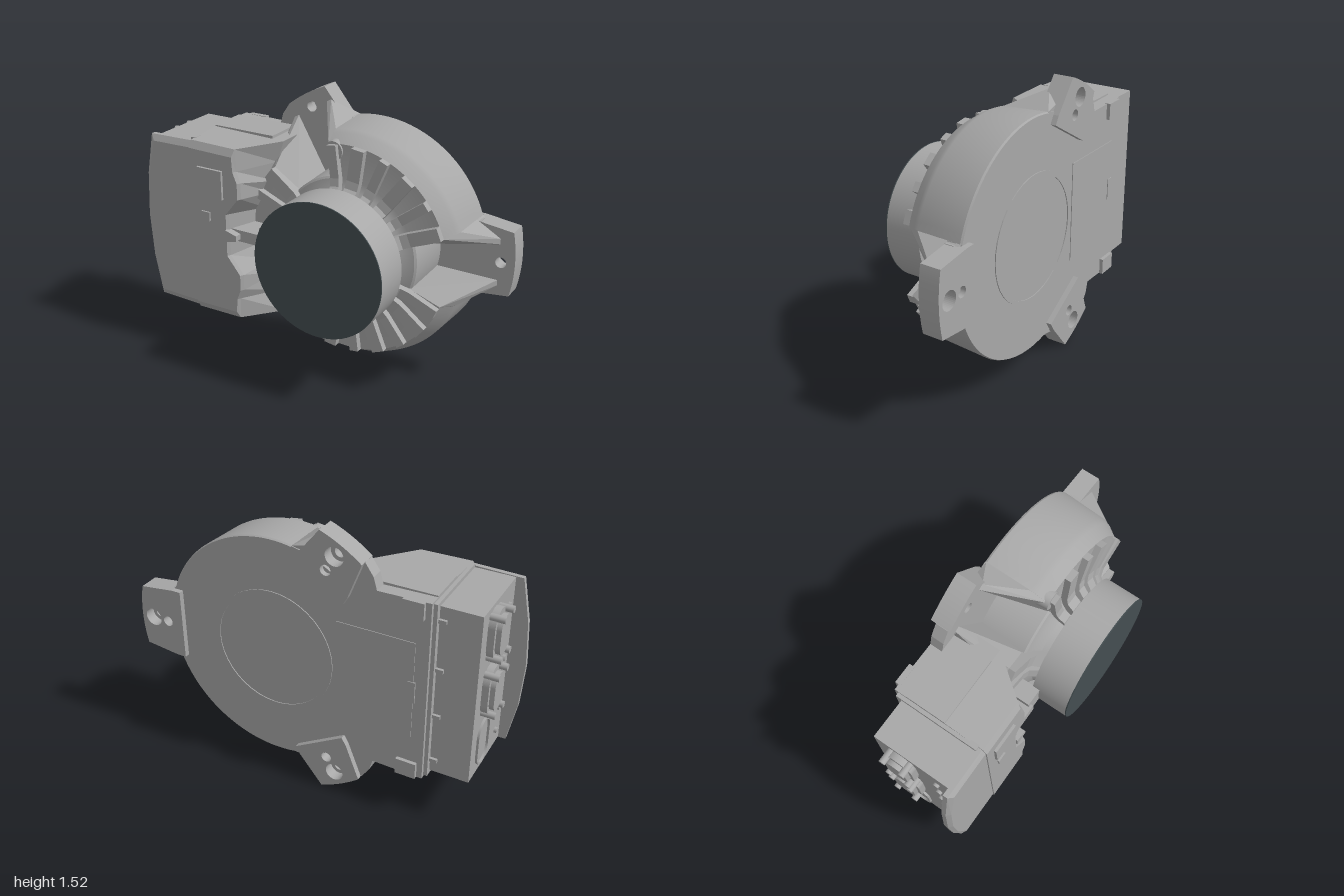
import * as THREE from 'three';
import { toCreasedNormals } from 'three/addons/utils/BufferGeometryUtils.js';
import { ConvexGeometry } from 'three/addons/geometries/ConvexGeometry.js';

const CX = 0.185, CY = 0.765;
const rad = THREE.MathUtils.degToRad;

export function createModel() {
  const grey = new THREE.MeshStandardMaterial({ color: 0xa8a8a8, side: THREE.DoubleSide });
  grey.name = 'castGrey';
  const dark = new THREE.MeshStandardMaterial({ color: 0x444e51 });
  dark.name = 'darkSlate';
  const model = new THREE.Group();
  model.name = 'rotaryDrive';
  const drum = new THREE.Group();
  drum.name = 'drumAssembly';
  drum.position.set(CX, CY, 0);
  model.add(drum);

  const add = (parent, name, geo, mat = grey) => {
    const m = new THREE.Mesh(geo, mat);
    m.name = name;
    parent.add(m);
    return m;
  };
  const box = (parent, name, x0, x1, y0, y1, z0, z1) =>
    add(parent, name, new THREE.BoxGeometry(x1 - x0, y1 - y0, z1 - z0)
      .translate((x0 + x1) / 2, (y0 + y1) / 2, (z0 + z1) / 2));
  const v2 = ([x, y]) => new THREE.Vector2(x, y);
  // Profile of [radius, z] turned about z between two angles in degrees
  const turn = (name, profile, from = 0, to = 360) => {
    const segs = Math.max(8, Math.round((to - from) / 4));
    const g = new THREE.LatheGeometry(profile.map(v2), segs, rad(from + 90), rad(to - from));
    return add(drum, name, toCreasedNormals(g.rotateX(Math.PI / 2), rad(28)));
  };
  const extrude = (shape, z0, z1) =>
    new THREE.ExtrudeGeometry(shape, { depth: z1 - z0, bevelEnabled: false, curveSegments: 20 }).translate(0, 0, z0);
  // Solid through outlines that are mirrored about the drum's mid height; each is [z, [[x, halfHeight]...]]
  const loft = sections => {
    const rings = sections.map(([z, u]) => [
      ...u.map(([x, h]) => [x, CY + h, z]),
      ...u.slice().reverse().map(([x, h]) => [x, CY - h, z])]);
    const pos = [], n = rings[0].length;
    for (let k = 0; k + 1 < rings.length; k++) {
      for (let i = 0; i < n; i++) {
        const j = (i + 1) % n, a = rings[k][i], b = rings[k][j], c = rings[k + 1][j], d = rings[k + 1][i];
        pos.push(...a, ...b, ...c, ...a, ...c, ...d);
      }
    }
    const cap = (ring, flip) => {
      for (const f of THREE.ShapeUtils.triangulateShape(ring.map(v2), [])) {
        for (const i of flip ? f.slice().reverse() : f) pos.push(...ring[i]);
      }
    };
    cap(rings[0], true);
    cap(rings[rings.length - 1], false);
    const g = new THREE.BufferGeometry();
    g.setAttribute('position', new THREE.Float32BufferAttribute(pos, 3));
    g.computeVertexNormals();
    return g;
  };

  // Round housing with three open channels that lead to the mounting ears
  const GAP = 19;
  const hub = [[0.39, 0.04], [0.34, 0.055], [0.3, 0.085], [0.275, 0.14]];
  for (const a of [0, 120, 240]) {
    turn('housing', [[0, -0.31], [0.63, -0.31], [0.635, -0.3], [0.622, -0.05], [0.61, -0.02], [0.57, 0.04], ...hub],
      a + GAP, a + 120 - GAP);
    turn('channel', [[0, -0.31], [0.635, -0.31], [0.635, -0.23], [0.41, -0.23], [0.4, 0.03], ...hub], a - GAP, a + GAP);

    // Mounting ear with two bolt holes
    const ear = new THREE.Group();
    ear.name = 'mountingEar';
    ear.rotation.z = rad(a);
    drum.add(ear);
    const half = rad(a === 0 ? 12.5 : 9), inner = a === 0 ? 0.2 : 0.16;
    const earShape = (start, holeR) => {
      const s = new THREE.Shape();
      s.moveTo(start, -inner);
      s.lineTo(0.6, -inner);
      s.absarc(0, 0, 0.815, -half, half, false);
      s.lineTo(0.6, inner);
      s.lineTo(start, inner);
      for (const x of [0.645, 0.74]) {
        s.holes.push(new THREE.Path().absarc(x, 0, x > 0.7 ? holeR : 0.029, 0, Math.PI * 2, true));
      }
      return s;
    };
    add(ear, 'earFront', extrude(earShape(0.62, 0.029), -0.28, -0.23));
    add(ear, 'earBackPad', extrude(earShape(0.55, 0.05), -0.34, -0.28));

    // Sloping cheeks on both sides of the channel
    for (const s of [1, -1]) {
      const c = Math.cos(rad(GAP)), n = Math.sin(rad(GAP));
      const pts = [[0.38, 0.04], [0.57, 0.04], [0.622, -0.05], [0.635, -0.305], [0.38, -0.305]]
        .map(([r, z]) => new THREE.Vector3(r * c, s * r * n, z));
      for (const [x, t, z] of [[0.39, 0.1, -0.23], [0.73, 0.1, -0.23], [0.73, 0.13, -0.23],
        [0.39, 0.1, -0.3], [0.7, 0.1, -0.3]]) pts.push(new THREE.Vector3(x, s * t, z));
      add(ear, 'channelCheek', new ConvexGeometry(pts));
    }
  }

  // Radial cooling ribs that sweep up the hub
  const rib = new THREE.Shape([[0.57, 0.02], [0.57, 0.075], [0.4, 0.075], [0.36, 0.085], [0.33, 0.12],
    [0.27, 0.125], [0.27, 0.02]].map(v2));
  for (let i = 0; i < 24; i++) {
    const a = i * 15 + 7.5, fromEar = Math.abs(((a + 60) % 120) - 60);
    if (fromEar < 20 || Math.abs(a - 180) < 20) continue;
    const w = i % 2 ? 0.07 : 0.05;
    const g = extrude(rib, -w / 2, w / 2).rotateX(Math.PI / 2);
    add(drum, 'coolingRib', g).rotation.z = rad(a);
  }

  // Rotor and its dark face
  turn('rotor', [[0, 0.13], [0.365, 0.13], [0.365, 0.335], [0, 0.335]]);
  add(drum, 'rotorFace', new THREE.CylinderGeometry(0.365, 0.365, 0.006, 72)
    .rotateX(Math.PI / 2).translate(0, 0, 0.338), dark);

  // Plug on the housing shoulder
  add(drum, 'shoulderPlug', new THREE.CylinderGeometry(0.05, 0.06, 0.1, 24)
    .rotateX(Math.PI / 2).translate(-0.075, 0.53, 0));

  // Raised ring and service panel on the back
  const ring = new THREE.Shape().absarc(0, 0, 0.345, 0, Math.PI * 2, false);
  ring.holes.push(new THREE.Path().absarc(0, 0, 0.325, 0, Math.PI * 2, true));
  add(drum, 'backRing', extrude(ring, -0.315, -0.3));
  box(model, 'backPanel', -0.6, -0.18, CY - 0.28, CY + 0.28, -0.314, -0.3);
  box(model, 'panelLatch', -0.61, -0.57, CY - 0.06, CY + 0.06, -0.318, -0.3);

  // Control housing, its sloped inner face scooped around the rotor
  const foot = [[-0.36, 0.05], [-0.36, 0.1], [-0.31, 0.2], [-0.28, 0.27], [-0.27, 0.38], [-0.23, 0.5], [-0.67, 0.51]];
  const front = [[-0.44, 0.05], [-0.44, 0.12], [-0.36, 0.22], [-0.36, 0.31], [-0.385, 0.37], [-0.39, 0.49], [-0.67, 0.495]];
  const crown = front.map(([x, h]) => [x - 0.01, Math.min(h, 0.455)]);
  crown[6][0] = -0.67;
  crown[5][1] = 0.45;
  add(model, 'controlHousing', loft([[-0.31, foot], [-0.02, foot], [0.195, front], [0.215, crown]]));

  // Front cover overhanging the terminal end
  const edge = [[-0.62, 0.49], [-0.94, 0.483], [-0.985, 0.25], [-1, 0.01]];
  const lip = [[-0.62, 0.455], [-0.915, 0.45], [-0.965, 0.24], [-0.98, 0.01]];
  add(model, 'frontCover', loft([[0.165, edge], [0.19, edge], [0.208, lip]]));
  box(model, 'coverPlate', -0.62, -0.46, 0.97, 1.13, 0.2, 0.23);
  box(model, 'coverButton', -0.605, -0.55, 0.83, 0.88, 0.2, 0.225);

  // Bridge that carries the cable to the rotor
  box(model, 'bridgeArm', -0.45, -0.25, 0.735, 0.8, -0.02, 0.185);
  box(model, 'bridgeHead', -0.27, -0.17, 0.7, 0.835, -0.02, 0.17);
  add(model, 'bridgePointer', extrude(new THREE.Shape([[-0.45, 0.73], [-0.38, 0.75], [-0.38, 0.78], [-0.45, 0.8]].map(v2)), 0.18, 0.225));

  // Terminal box with flange and top strips
  box(model, 'terminalBox', -0.9, -0.66, 0.285, 1.245, -0.26, 0.17);
  box(model, 'terminalFlange', -0.69, -0.66, 0.265, 1.265, -0.29, 0.17);
  for (const s of [1, -1]) {
    box(model, 'sideStrip', -0.67, -0.3, CY + s * 0.505 - 0.012, CY + s * 0.505 + 0.012, -0.24, -0.02);
    box(model, 'backPad', -0.64, -0.53, CY + s * 0.465 - 0.045, CY + s * 0.465 + 0.045, -0.33, -0.3);
    // Web between ear and control housing
    const web = [[-0.4, 0.48], [-0.375, 0.57], [-0.33, 0.635], [-0.2, 0.55], [-0.2, 0.4]];
    add(model, 'earWeb', extrude(new THREE.Shape(web.map(([x, h]) => new THREE.Vector2(x, CY + s * h))), -0.31, -0.24));
  }
  for (let i = 0; i < 4; i++) {
    const y = 0.36 + i * 0.27;
    box(model, 'flangeClip', -0.73, -0.67, y - 0.01, y + 0.01, -0.275, -0.25);
  }

  // Oblong outlines on the terminal end: two glands with bolts and one blank frame
  const oblong = (r, len) => {
    const s = new THREE.Shape();
    s.absarc(0, len, r, 0, Math.PI, false);
    s.absarc(0, -len, r, Math.PI, Math.PI * 2, false);
    return s;
  };
  const onEnd = (name, shape, y, depth) => {
    const m = add(model, name, extrude(shape, 0, depth));
    m.rotation.y = -Math.PI / 2;
    m.position.set(-0.9, y, -0.11);
  };
  for (const y of [1.09, 0.77]) {
    onEnd('glandBase', oblong(0.08, 0.055), y, 0.035);
    onEnd('glandCap', oblong(0.06, 0.045), y, 0.06);
    for (const dy of [-0.11, 0.11]) for (const dz of [-0.055, 0.055]) {
      add(model, 'glandBolt', new THREE.CylinderGeometry(0.018, 0.018, 0.08, 12)
        .rotateZ(Math.PI / 2).translate(-0.935, y + dy, -0.11 + dz));
    }
  }
  const blank = oblong(0.08, 0.055);
  blank.holes.push(oblong(0.068, 0.055));
  onEnd('blankFrame', blank, 0.45, 0.012);
  for (let i = 0; i < 6; i++) {
    add(model, 'endScrew', new THREE.CylinderGeometry(0.016, 0.016, 0.02, 12)
      .rotateZ(Math.PI / 2).translate(-0.905, 0.38 + i * 0.15, 0.09));
  }
  return model;
}
